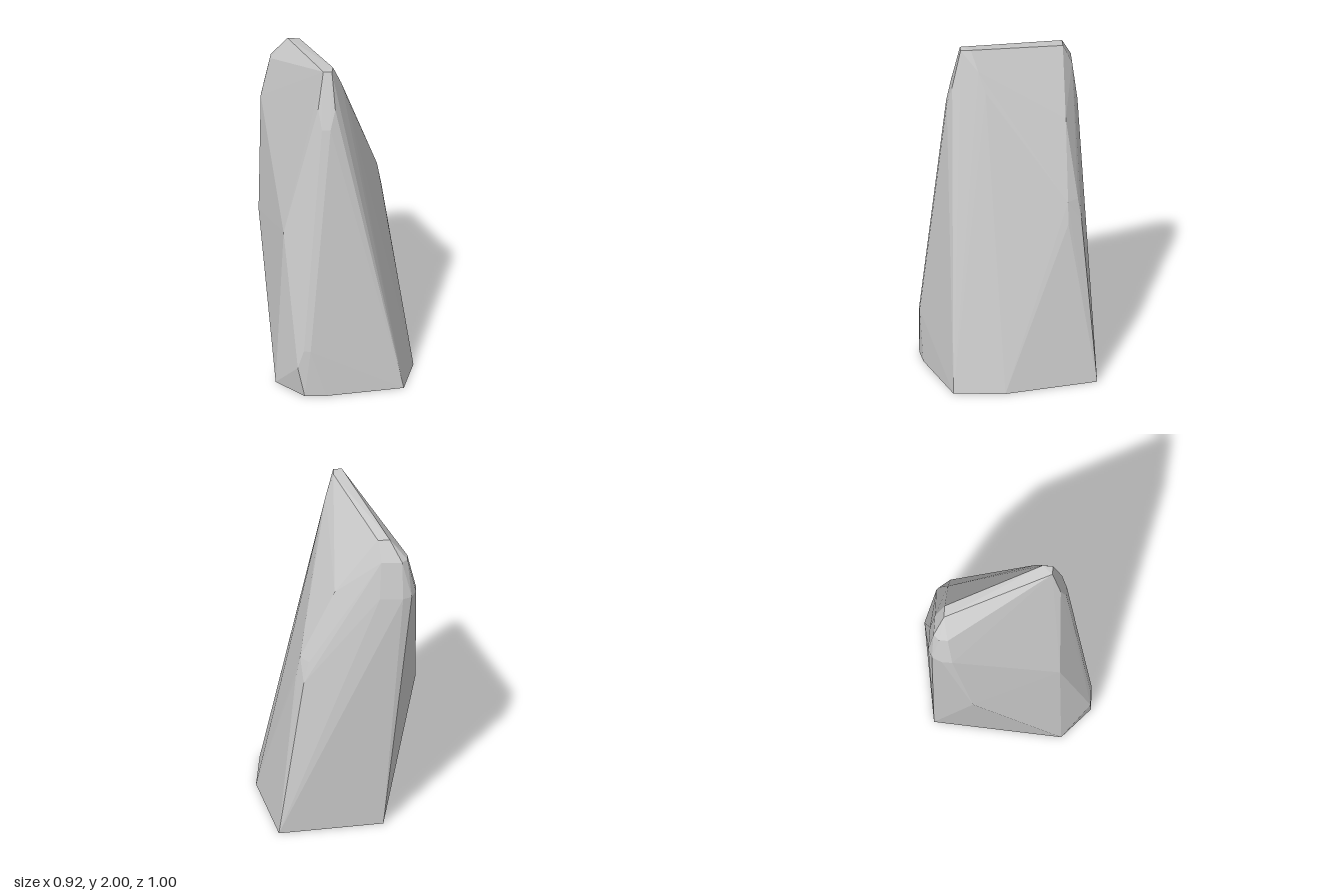
import * as THREE from 'three';
import { ConvexGeometry } from 'three/addons/geometries/ConvexGeometry.js';

// Corners of the stone, grouped by where they sit: [x, y, z]
const base = [
  [-0.31, 0, 0.34], [-0.125, 0, 0.5], [0, 0, 0.485], [0.435, 0, 0.34],
  [0.46, 0, 0.04], [0.335, 0, -0.5], [-0.27, 0, -0.4],
];
const frontFoot = [[-0.165, 0.18, 0.5], [-0.13, 0.29, 0.5], [-0.09, 0.29, 0.5]];
const rightFlank = [
  [-0.265, 0.97, 0.33], [-0.46, 0.86, -0.16], [-0.46, 1.54, -0.28], [-0.46, 1.54, -0.34],
];
const backShoulder = [
  [-0.435, 1.54, -0.4], [-0.385, 1.54, -0.425], [-0.25, 1.54, -0.425],
  [-0.41, 1.77, -0.31], [-0.41, 1.77, -0.36], [-0.38, 1.77, -0.395], [-0.26, 1.77, -0.395],
];
const leftFlank = [
  [0.01, 1.54, -0.34], [0.21, 1.1, -0.34], [0.235, 0.97, -0.34],
  [0.16, 1.1, -0.4], [0.19, 0.97, -0.42], [0.085, 1.76, 0.13], [0.055, 1.88, 0.17],
];
const ridge = [
  [-0.31, 1.89, -0.34], [-0.24, 1.89, -0.34], [0.01, 2, 0.21], [0.01, 2, 0.27], [-0.04, 2, 0.27],
];
const frontTip = [
  [-0.065, 1.78, 0.32], [0.035, 1.78, 0.32], [-0.04, 1.66, 0.35], [0.01, 1.66, 0.35],
];

export function createModel() {
  const group = new THREE.Group();
  group.name = 'standingStone';

  // Faceted shard stretched over all corners
  const corners = [base, frontFoot, rightFlank, backShoulder, leftFlank, ridge, frontTip]
    .flat()
    .map((p) => new THREE.Vector3(...p));
  const stone = new THREE.Mesh(
    new ConvexGeometry(corners),
    new THREE.MeshStandardMaterial({ color: 0xcccccc, flatShading: true }),
  );
  stone.name = 'rockShard';
  group.add(stone);
  return group;
}
